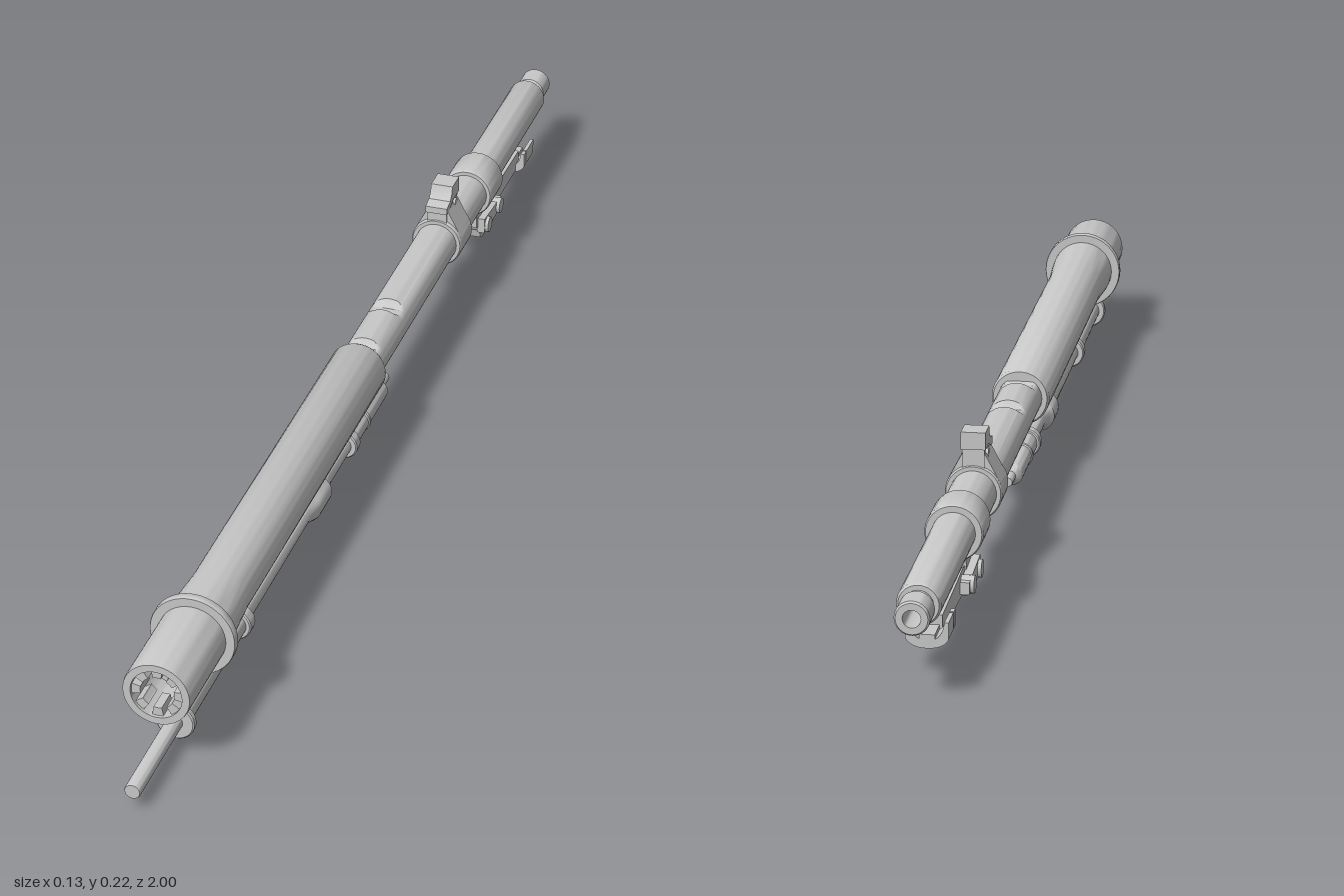
import * as THREE from 'three';
import { toCreasedNormals } from 'three/addons/utils/BufferGeometryUtils.js';

const AXIS_Y = 0.124; // height of the main tube axis
const ROD_Y = 0.03;   // height of the lower rod axis

export function createModel() {
  const model = new THREE.Group();
  const steel = new THREE.MeshStandardMaterial({ color: 0xc8c8c8 });
  steel.name = 'light steel grey';

  function add(parent, name, geometry, x = 0, y = 0, z = 0) {
    const mesh = new THREE.Mesh(toCreasedNormals(geometry, 0.6), steel);
    mesh.name = name;
    mesh.position.set(x, y, z);
    parent.add(mesh);
  }
  // Turned part along z from [radius, z] points, listed by rising z on the outside
  function turned(points, sides = 40) {
    const g = new THREE.LatheGeometry(points.map(p => new THREE.Vector2(p[0], p[1])), sides);
    return g.rotateX(Math.PI / 2);
  }
  // Side profile in (-z, y), extruded across x and centred
  function sidePlate(points, width, holes = []) {
    const s = new THREE.Shape(points.map(p => new THREE.Vector2(p[0], p[1])));
    for (const [u, y, r] of holes) s.holes.push(new THREE.Path().absarc(u, y, r, 0, Math.PI * 2, true));
    const g = new THREE.ExtrudeGeometry(s, { depth: width, bevelEnabled: false, curveSegments: 8 });
    return g.translate(0, 0, -width / 2).rotateY(Math.PI / 2);
  }
  function group(name) {
    const g = new THREE.Group();
    g.name = name;
    model.add(g);
    return g;
  }

  // Rear sleeve with an open cavity and through bore
  const breech = group('breech');
  add(breech, 'sleeve', turned([
    [0.0125, -0.003], [0.042, -0.003], [0.045, 0.003], [0.045, 0.64], [0.05, 0.72], [0.05, 0.896], [0.049, 0.9],
    [0.038, 0.9], [0.038, 0.82], [0.021, 0.82], [0.0125, 0.78], [0.0125, -0.003],
  ], 48), 0, AXIS_Y);
  add(breech, 'flange', turned([
    [0.045, 0.74], [0.063, 0.74], [0.064, 0.742], [0.064, 0.752], [0.063, 0.754], [0.045, 0.754],
  ], 48), 0, AXIS_Y);
  add(breech, 'flangePin', new THREE.BoxGeometry(0.01, 0.012, 0.03), 0, 0.068, 0.738);

  // Ring of locking lugs inside the cavity
  const lugs = 8;
  for (let i = 0; i < lugs; i++) {
    const a = i / lugs * Math.PI * 2;
    const lug = new THREE.Shape();
    lug.absarc(0, 0, 0.0385, a - 0.22, a + 0.22, false);
    lug.absarc(0, 0, 0.025, a + 0.24, a - 0.24, true);
    add(breech, 'lug', new THREE.ExtrudeGeometry(lug, { depth: 0.035, bevelEnabled: false }), 0, AXIS_Y, 0.86);
  }

  // Slim tube, with two shallow notches cut into its top
  const profile = [[0.0125, -0.945], [0.028, -0.945], [0.031, -0.94], [0.031, -0.64], [0.034, -0.6]];
  for (const z of [-0.16, -0.155, -0.15, -0.135, -0.13, -0.125, -0.035, -0.03, -0.025, -0.008, -0.004, 0.004]) {
    profile.push([0.034, z]);
  }
  profile.push([0.0125, 0.004], [0.0125, -0.945]);
  const tube = turned(profile);
  const pos = tube.attributes.position;
  for (let i = 0; i < pos.count; i++) {
    const z = pos.getZ(i);
    const d = Math.min(Math.abs(z + 0.1425), Math.abs(z + 0.0165));
    if (d < 0.016) pos.setY(i, Math.min(pos.getY(i), d < 0.01 ? 0.022 : 0.026));
  }
  const barrel = group('barrel');
  add(barrel, 'tube', tube, 0, AXIS_Y);
  add(barrel, 'muzzle', turned([
    [0.0125, -1], [0.022, -1], [0.0245, -0.997], [0.0245, -0.958], [0.021, -0.955],
    [0.021, -0.94], [0.0125, -0.94], [0.0125, -1],
  ], 32), 0, AXIS_Y);

  // Clamp rings
  for (const [name, z0, z1] of [['sightRing', -0.472, -0.408], ['bracketRing', -0.65, -0.58]]) {
    add(barrel, name, turned([
      [0.028, z0], [0.04, z0], [0.042, z0 + 0.003], [0.042, z1 - 0.003], [0.04, z1], [0.028, z1],
    ]), 0, AXIS_Y);
  }

  // Raised sight on the first ring, with sloping shoulders
  const sight = group('sight');
  const shoulder = new THREE.Shape([[-0.04, 0.138], [0.04, 0.138], [0.017, 0.182], [-0.017, 0.182]]
    .map(p => new THREE.Vector2(p[0], p[1])));
  shoulder.holes.push(new THREE.Path().absarc(0, AXIS_Y, 0.03, Math.PI - 0.6, 0.6, true));
  add(sight, 'sightShoulder', new THREE.ExtrudeGeometry(shoulder, { depth: 0.054, bevelEnabled: false }), 0, 0, -0.468);
  add(sight, 'sightBase', sidePlate([
    [0.41, 0.16], [0.47, 0.16], [0.47, 0.195], [0.445, 0.195], [0.43, 0.183], [0.41, 0.183],
  ], 0.032));
  add(sight, 'sightHead', sidePlate([
    [0.405, 0.18], [0.415, 0.18], [0.44, 0.19], [0.472, 0.19], [0.472, 0.216],
    [0.436, 0.216], [0.432, 0.204], [0.424, 0.195], [0.405, 0.191],
  ], 0.036));
  for (const s of [-1, 1]) {
    add(sight, 'sightScrew', new THREE.CylinderGeometry(0.007, 0.007, 0.006, 16).rotateZ(Math.PI / 2),
      s * 0.017, 0.18, -0.452);
  }

  // Bracket hanging below the second ring
  const bracket = group('bracket');
  add(bracket, 'bracketBlock', sidePlate([
    [0.583, 0.1], [0.583, 0.06], [0.6, 0.05], [0.605, 0.03], [0.618, 0.024], [0.635, 0.027],
    [0.645, 0.04], [0.645, 0.1],
  ], 0.034, [[0.622, 0.038, 0.006]]));
  add(bracket, 'arm', sidePlate([
    [0.635, 0.044], [0.66, 0.039], [0.71, 0.042], [0.84, 0.042], [0.84, 0.072],
    [0.71, 0.075], [0.66, 0.078], [0.635, 0.072],
  ], 0.03));
  for (const [u, r, y] of [[0.605, 0.013, 0.058], [0.672, 0.013, 0.058]]) {
    add(bracket, 'pivotPin', new THREE.CylinderGeometry(r, r, 0.068, 20).rotateZ(Math.PI / 2), 0, y, -u);
  }
  for (const s of [-1, 1]) {
    add(bracket, 'sideCheek', sidePlate([
      [0.59, 0.048], [0.635, 0.045], [0.69, 0.048], [0.69, 0.066], [0.635, 0.07], [0.59, 0.074],
    ], 0.013), s * 0.022);
  }

  // Open saddle at the end of the arm
  const saddle = new THREE.Shape();
  saddle.moveTo(-0.03, 0.076);
  saddle.lineTo(-0.03, 0.052);
  saddle.quadraticCurveTo(-0.023, 0.038, 0, 0.038);
  saddle.quadraticCurveTo(0.023, 0.038, 0.03, 0.052);
  saddle.lineTo(0.03, 0.076);
  saddle.lineTo(0.024, 0.076);
  saddle.quadraticCurveTo(0.021, 0.049, 0, 0.049);
  saddle.quadraticCurveTo(-0.021, 0.049, -0.024, 0.076);
  for (const [z, depth] of [[-0.88, 0.042], [-0.835, 0.012]]) {
    add(bracket, 'saddle', new THREE.ExtrudeGeometry(saddle, { depth, bevelEnabled: false }), 0, 0, z);
  }
  add(bracket, 'saddleFloor', new THREE.BoxGeometry(0.022, 0.016, 0.07), 0, 0.05, -0.845);

  // Separate stepped rod below the sleeve
  const rod = group('rod');
  add(rod, 'rodBody', turned([
    [0, -0.135], [0.007, -0.135], [0.008, -0.132], [0.008, -0.105], [0.014, -0.1], [0.018, -0.094],
    [0.018, 0.06], [0.014, 0.08], [0.014, 0.18], [0.019, 0.2], [0.025, 0.207], [0.025, 0.26], [0.016, 0.285],
    [0.016, 0.56], [0.019, 0.58], [0.019, 0.82], [0.012, 0.83], [0.012, 0.998], [0.011, 1], [0, 1],
  ], 28), 0, ROD_Y);
  for (const [z0, z1, r] of [[0.82, 0.832, 0.029], [0.562, 0.584, 0.026], [0.06, 0.08, 0.023], [-0.004, 0.006, 0.02]]) {
    add(rod, 'collar', turned([
      [0.01, z0], [r - 0.002, z0], [r, z0 + 0.002], [r, z1 - 0.002], [r - 0.002, z1], [0.01, z1],
    ], 28), 0, ROD_Y);
  }

  return model;
}
